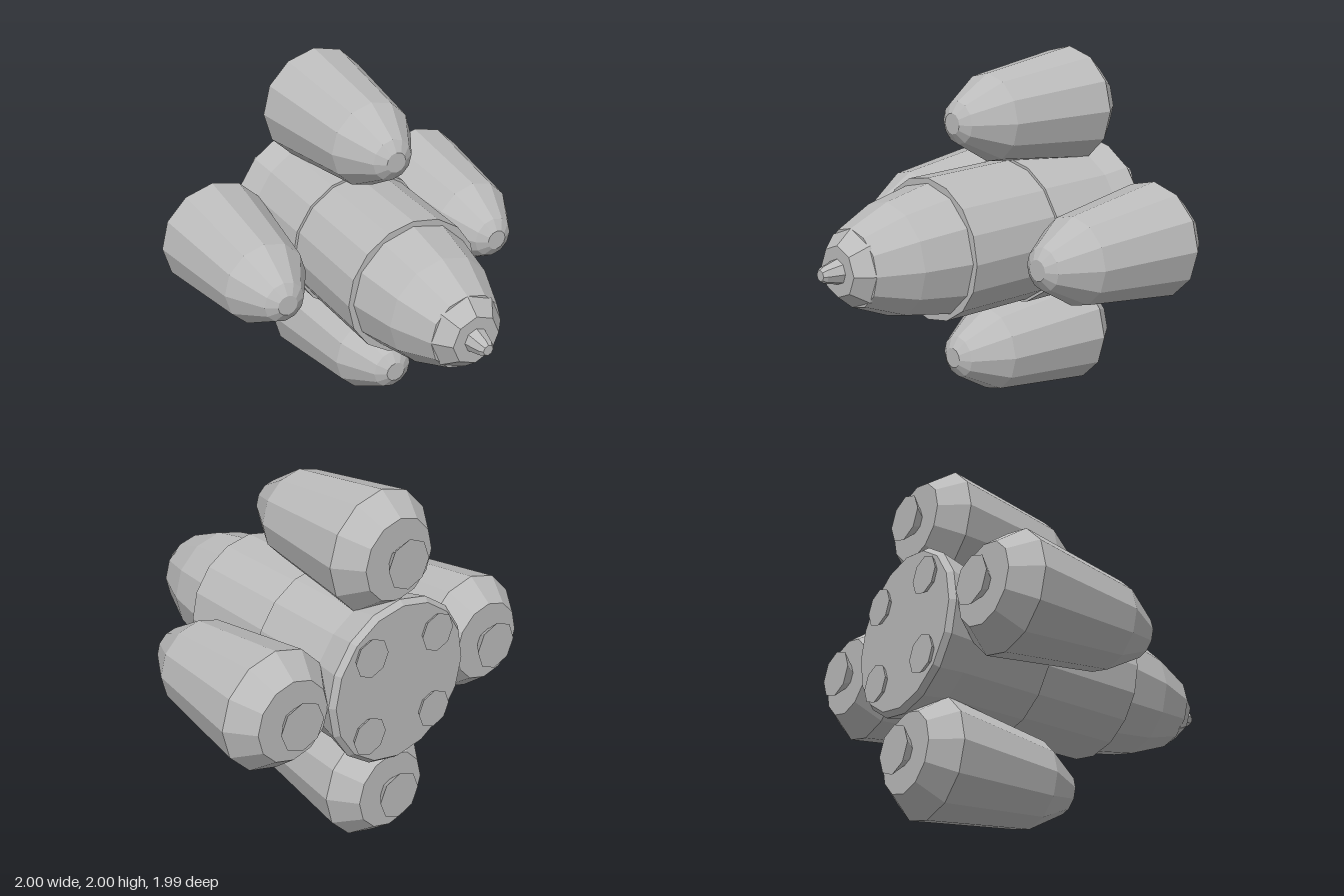
import * as THREE from 'three';

export function createModel() {
  const model = new THREE.Group();
  const hullGrey = new THREE.MeshStandardMaterial({ color: 0xbbbbbb, flatShading: true });
  hullGrey.name = 'hullGrey';

  // Faceted solid turned around the z axis; profile is [z, radius] from back to front, capped at both ends
  function turned(name, profile, sides, parent, x = 0, y = 0) {
    const first = profile[0], last = profile[profile.length - 1];
    const points = [[first[0], 0], ...profile, [last[0], 0]].map(([z, r]) => new THREE.Vector2(r, z));
    const geometry = new THREE.LatheGeometry(points, sides);
    geometry.rotateX(Math.PI / 2);
    const mesh = new THREE.Mesh(geometry, hullGrey);
    mesh.name = name;
    mesh.position.set(x, y, 0);
    parent.add(mesh);
  }

  // Central core, from the flared base to the nose
  const core = new THREE.Group();
  core.name = 'core';
  core.position.y = 1;
  model.add(core);
  turned('coreBase', [[-0.975, 0.435], [-0.945, 0.46], [-0.79, 0.425], [-0.32, 0.42]], 16, core);
  turned('coreBody', [[-0.33, 0.405], [0.27, 0.4]], 16, core);
  turned('noseFairing', [[0.26, 0.37], [0.27, 0.37], [0.55, 0.315], [0.79, 0.215]], 12, core);
  turned('noseCap', [[0.78, 0.218], [0.79, 0.215], [0.88, 0.14]], 8, core);
  turned('noseTip', [[0.87, 0.072], [0.97, 0.045], [0.99, 0.03]], 8, core);

  // Four core engines on the diagonals
  for (const sx of [-1, 1]) {
    for (const sy of [-1, 1]) {
      turned('coreEngine', [[-1, 0.108], [-0.97, 0.085]], 8, core, sx * 0.225, sy * 0.225);
    }
  }

  // Four strap-on boosters around the core
  for (const [x, y] of [[0.67, 0], [-0.67, 0], [0, 0.67], [0, -0.67]]) {
    const booster = new THREE.Group();
    booster.name = 'booster';
    booster.position.set(x, 1 + y, 0);
    model.add(booster);
    turned('boosterBody',
      [[-0.93, 0.22], [-0.79, 0.33], [-0.16, 0.246], [0.055, 0.118], [0.095, 0.058]], 12, booster);
    turned('boosterNozzle', [[-1, 0.135], [-0.92, 0.06]], 8, booster);
  }

  return model;
}
